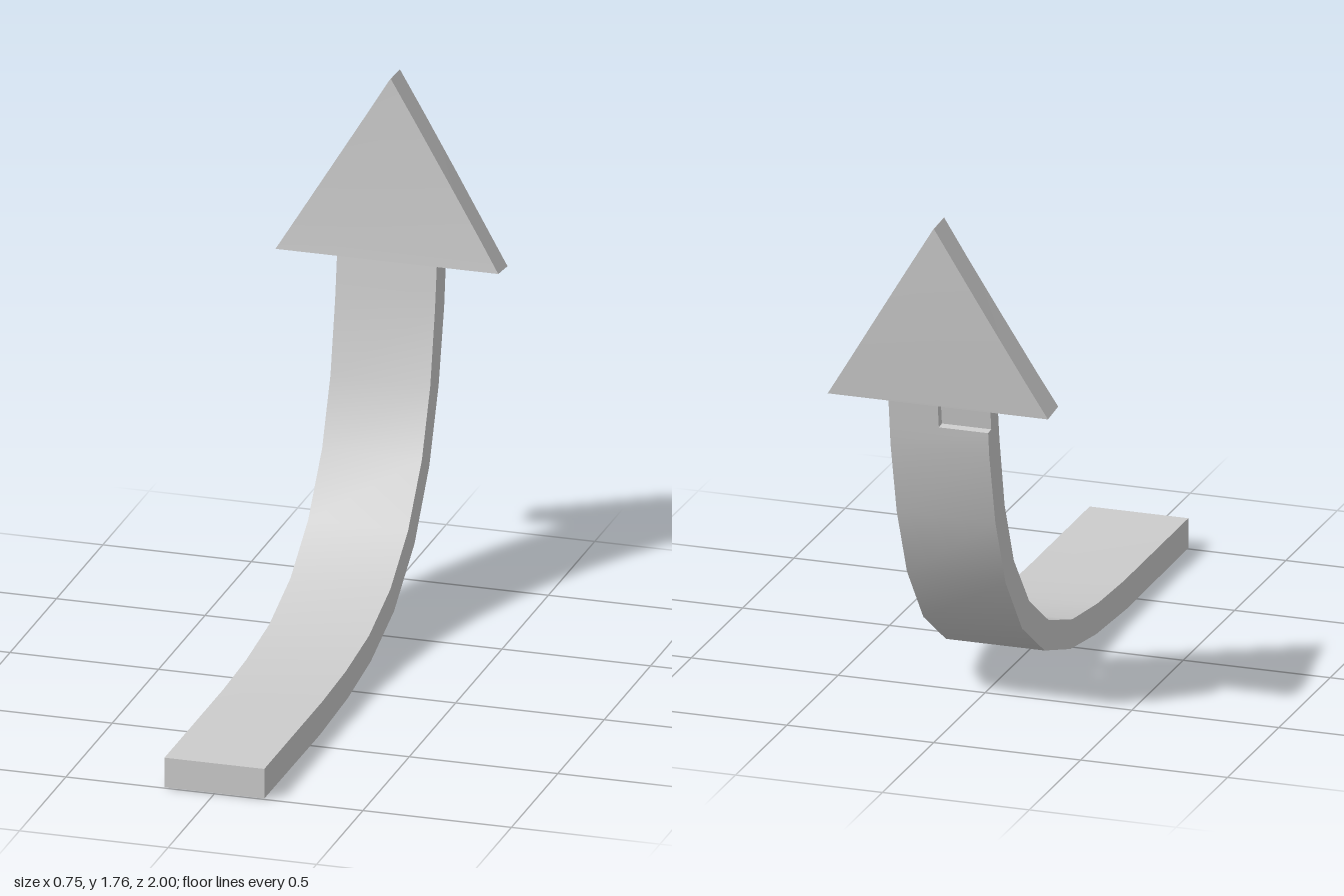
import * as THREE from 'three';
import { toCreasedNormals } from 'three/addons/utils/BufferGeometryUtils.js';

const grey = new THREE.MeshStandardMaterial({ color: 0xcccccc });
grey.name = 'light grey';

// Loft a four-sided bar through rows of [frontZ, frontY, backZ, backY, x0, x1]
function loft(name, rows) {
  const pos = [];
  const rings = rows.map(([fz, fy, bz, by, x0, x1]) =>
    [[x0, fy, fz], [x1, fy, fz], [x1, by, bz], [x0, by, bz]]);
  const quad = (a, b, c, d) => pos.push(...a, ...b, ...c, ...a, ...c, ...d);
  for (let i = 0; i < rings.length - 1; i++) {
    const p = rings[i], q = rings[i + 1];
    for (let k = 0; k < 4; k++) {
      const n = (k + 1) % 4;
      quad(p[k], p[n], q[n], q[k]);
    }
  }
  const [a, b, c, d] = rings[0];
  quad(a, d, c, b);
  quad(...rings[rings.length - 1]);
  const geo = new THREE.BufferGeometry();
  geo.setAttribute('position', new THREE.Float32BufferAttribute(pos, 3));
  const mesh = new THREE.Mesh(toCreasedNormals(geo, 0.6), grey);
  mesh.name = name;
  return mesh;
}

export function createModel() {
  const group = new THREE.Group();
  group.name = 'curvedArrow';
  const W = 0.168;

  // Shaft: flat at the front, sweeping up at the back
  const shaft = [
    [1, 0.105, 1, 0.003], [0.37, 0.105, 0.4, 0], [0.12, 0.115, 0.1, 0.015],
    [-0.13, 0.145, -0.15, 0.05], [-0.36, 0.22, -0.4, 0.13],
    [-0.55, 0.35, -0.62, 0.28], [-0.7, 0.54, -0.78, 0.49],
    [-0.79, 0.76, -0.88, 0.73], [-0.84, 1.0, -0.94, 0.98],
    [-0.85, 1.07, -0.95, 1.06],
  ];
  group.add(loft('shaft', shaft.map((r) => [...r, -W, W])));

  // Shaft neck, with a shallow recess in one half of its back
  const low = [-0.85, 1.07], high = [-0.86, 1.145];
  group.add(loft('neck', [
    [...low, -0.95, 1.06, 0, W], [...high, -0.96, 1.135, 0, W],
  ]));
  group.add(loft('recessedNeck', [
    [...low, -0.92, 1.063, -W, 0], [...high, -0.93, 1.138, -W, 0],
  ]));

  // Triangular head, continuing the bend to a point
  const head = [
    [-0.86, 1.145, -0.96, 1.135], [-0.871, 1.25, -0.969, 1.24],
    [-0.885, 1.45, -0.984, 1.443], [-0.895, 1.62, -0.994, 1.615],
    [-0.9, 1.76, -1, 1.755],
  ];
  group.add(loft('head', head.map((r) => {
    const w = Math.max(0.0005, 0.375 * (1.76 - r[1]) / (1.76 - 1.145));
    return [...r, -w, w];
  })));
  return group;
}
